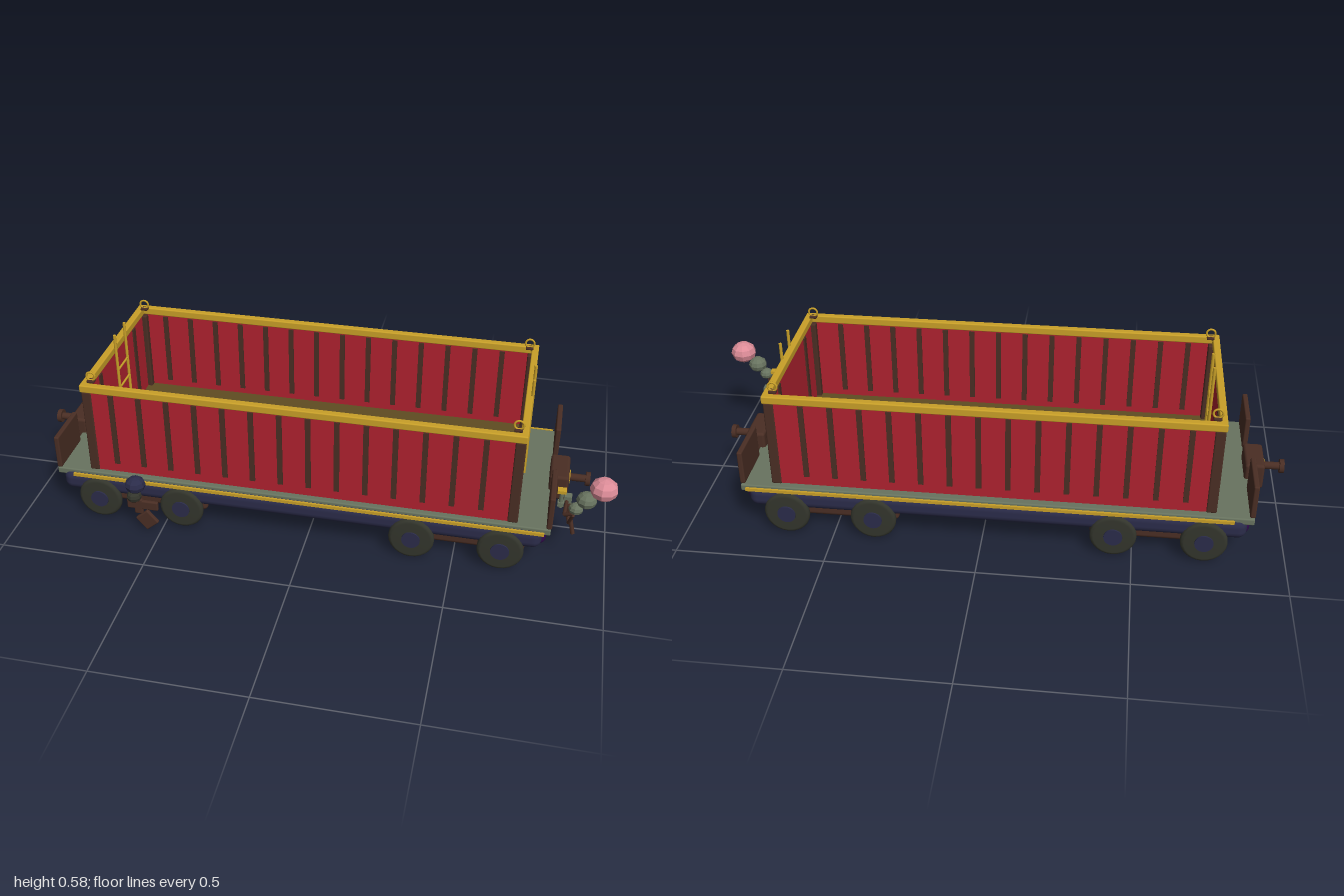
import * as THREE from 'three';
import { RoundedBoxGeometry } from 'three/addons/geometries/RoundedBoxGeometry.js';

const CX = -0.03, CZ = -0.042; // centre of the cargo box

export function createModel() {
  const model = new THREE.Group();
  model.name = 'openWagon';
  const paint = (name, color) => {
    const m = new THREE.MeshStandardMaterial({ color });
    m.name = name;
    return m;
  };
  const red = paint('red', 0xb0222f), gold = paint('gold', 0xc9a028), brown = paint('brown', 0x4a2e24);
  const grey = paint('greyGreen', 0x68735f), dark = paint('darkOlive', 0x33352c), navy = paint('navy', 0x2b2c4a);
  const purple = paint('purple', 0x300b4a), pink = paint('pink', 0xdc8c98), ochre = paint('darkOchre', 0x604c22);

  const add = (name, geo, mat, x = 0, y = 0, z = 0) => {
    const m = new THREE.Mesh(geo, mat);
    m.name = name;
    m.position.set(x, y, z);
    model.add(m);
    return m;
  };
  // Box given by its limits along each axis, optionally rounded
  const block = (name, mat, [x0, x1], [y0, y1], [z0, z1], r = 0) => {
    const s = [x1 - x0, y1 - y0, z1 - z0];
    const geo = r ? new RoundedBoxGeometry(...s, 3, r) : new THREE.BoxGeometry(...s);
    return add(name, geo, mat, (x0 + x1) / 2, (y0 + y1) / 2, (z0 + z1) / 2);
  };
  // Round bar between two points
  const bar = (name, mat, a, b, r, sides = 8) => {
    const p = new THREE.Vector3(...a), q = new THREE.Vector3(...b), d = q.clone().sub(p);
    const m = add(name, new THREE.CylinderGeometry(r, r, d.length(), sides), mat);
    m.position.copy(p).add(q).multiplyScalar(0.5);
    m.quaternion.setFromUnitVectors(new THREE.Vector3(0, 1, 0), d.normalize());
    return m;
  };
  const facetedBall = (name, mat, x, y, z, r, h) => {
    const geo = new THREE.SphereGeometry(1, 9, 6).scale(r, h, r).toNonIndexed();
    geo.computeVertexNormals();
    return add(name, geo, mat, x, y, z);
  };

  // Underframe
  block('deck', grey, [-0.885, 0.81], [0.149, 0.173], [-0.342, 0.253], 0.005);
  block('frame', navy, [-0.865, 0.785], [0.091, 0.167], [-0.352, 0.266], 0.03);
  block('frameUnderside', purple, [-0.83, 0.75], [0.088, 0.098], [-0.325, 0.24]);
  block('frameEnds', purple, [-0.875, 0.798], [0.092, 0.148], [-0.325, 0.242], 0.026);
  for (const s of [-1, 1]) {
    const z = CZ + s * 0.31;
    block('sideStripe', gold, [-0.82, 0.79], [0.158, 0.169], [z - 0.004, z + 0.004]);
  }

  // Bogies and wheels
  const wheelShape = [[0, -0.013], [0.065, -0.013], [0.073, -0.01], [0.077, -0.004], [0.077, 0.004],
    [0.073, 0.01], [0.065, 0.013], [0, 0.013]].map(p => new THREE.Vector2(...p));
  for (const bx of [-0.583, 0.508]) {
    block('bogie', brown, [bx - 0.225, bx + 0.225], [0.045, 0.094], [-0.312, 0.227], 0.015);
    for (const dx of [-0.147, 0.147]) {
      bar('axle', brown, [bx + dx, 0.077, -0.34], [bx + dx, 0.077, 0.255], 0.014, 12);
      for (const s of [-1, 1]) {
        const z = CZ + s * 0.306;
        add('wheel', new THREE.LatheGeometry(wheelShape, 24), dark, bx + dx, 0.079, z).rotation.x = Math.PI / 2;
        add('hubCap', new THREE.CylinderGeometry(0.031, 0.031, 0.008, 20), navy,
          bx + dx, 0.079, z + s * 0.014).rotation.x = Math.PI / 2;
      }
    }
  }

  // Cargo box: floor, walls and rim
  block('floor', ochre, [-0.75, 0.69], [0.186, 0.196], [-0.33, 0.246]);
  for (const s of [-1, 1]) {
    const z = CZ + s * 0.286, x = CX + s * 0.72;
    block('longWall', red, [-0.75, 0.69], [0.186, 0.497], [z - 0.005, z + 0.005]);
    block('endWall', red, [x - 0.005, x + 0.005], [0.186, 0.497], [-0.328, 0.244]);
    const rz = CZ + s * 0.287, rx = CX + s * 0.723;
    block('longRim', gold, [-0.765, 0.705], [0.494, 0.521], [rz - 0.012, rz + 0.012], 0.004);
    block('endRim', gold, [rx - 0.012, rx + 0.012], [0.494, 0.521], [-0.341, 0.257], 0.004);
    // Ribs pass through the walls
    for (let i = 0; i < 14; i++) {
      const px = -0.66 + i * 0.0954;
      block('longRib', brown, [px - 0.009, px + 0.009], [0.22, 0.49], [z - 0.01, z + 0.01]);
    }
    for (const dz of [-0.165, 0.165]) {
      block('endRib', brown, [x - 0.01, x + 0.01], [0.21, 0.49], [CZ + dz - 0.011, CZ + dz + 0.011]);
    }
    // Corner posts with lifting rings
    for (const t of [-1, 1]) {
      const cx = CX + s * 0.715, cz = CZ + t * 0.277;
      block('cornerPost', brown, [cx - 0.017, cx + 0.017], [0.183, 0.493], [cz - 0.017, cz + 0.017], 0.005);
      const ex = CX + s * 0.703, ez = CZ + t * 0.265;
      block('ringBase', brown, [ex - 0.013, ex + 0.013], [0.519, 0.528], [ez - 0.011, ez + 0.011], 0.003);
      add('liftingRing', new THREE.TorusGeometry(0.015, 0.0035, 8, 20), gold, ex, 0.541, ez);
    }
  }

  // Ladders at the two end walls
  for (const x of [0.703, -0.728]) {
    for (const z of [0.005, -0.089]) bar('ladderRail', gold, [x, 0.215, z], [x, 0.579, z], 0.0055);
    for (let i = 0; i < 4; i++) {
      const y = 0.227 + i * 0.071;
      bar('ladderRung', gold, [x, y, 0.005], [x, y, -0.089], 0.004);
    }
  }

  // Ends: guard panels, buffer blocks and couplers
  for (const s of [-1, 1]) {
    const end = d => -0.037 + s * d;
    const span = (a, b) => [Math.min(end(a), end(b)), Math.max(end(a), end(b))];
    for (const t of [-1, 1]) {
      const z = CZ + t * 0.206;
      block('guardPanel', brown, span(0.832, 0.85), [0.172, 0.294], [z - 0.086, z + 0.086], 0.005);
    }
    block('bufferBlock', brown, span(0.827, 0.892), [0.135, 0.228], [CZ - 0.071, CZ + 0.071], 0.01);
    bar('couplerShaft', brown, [end(0.89), 0.187, CZ], [end(0.955), 0.187, CZ], 0.013, 14);
    bar('couplerHead', brown, [end(0.948), 0.187, CZ], [end(0.963), 0.187, CZ], 0.024, 20);
    add('couplerRing', new THREE.TorusGeometry(0.022, 0.003, 8, 24), gold,
      end(0.893), 0.187, CZ).rotation.y = Math.PI / 2;
  }

  // Valve, pipe and lever at the left end, with rising puffs
  bar('valveStem', grey, [0.83, 0.235, 0.202], [0.83, 0.293, 0.202], 0.007);
  block('valveFoot', grey, [0.82, 0.84], [0.243, 0.257], [0.191, 0.213]);
  block('valveCap', gold, [0.816, 0.844], [0.293, 0.304], [0.19, 0.214]);
  block('leverHead', grey, [0.84, 0.865], [0.232, 0.256], [0.15, 0.175]);
  bar('lever', brown, [0.852, 0.24, 0.162], [0.882, 0.122, 0.187], 0.007);
  const pipe = (name, pts) => {
    for (let i = 1; i < pts.length; i++) bar(name, brown, pts[i - 1], pts[i], 0.006);
  };
  pipe('upperPipe', [[0.85, 0.24, 0.165], [0.845, 0.23, 0.235], [0.87, 0.245, 0.247]]);
  pipe('lowerPipe', [[0.853, 0.24, 0.158], [0.858, 0.19, 0.172], [0.862, 0.19, 0.222], [0.872, 0.24, 0.247]]);
  facetedBall('smallPuff', grey, 0.878, 0.265, 0.243, 0.024, 0.02);
  facetedBall('middlePuff', grey, 0.907, 0.303, 0.243, 0.033, 0.028);
  facetedBall('largePuff', pink, 0.955, 0.352, 0.242, 0.045, 0.038);

  // Lever fitting beside the front right bogie
  block('fittingPlate', brown, [-0.615, -0.505], [0.085, 0.12], [0.301, 0.315], 0.005);
  block('fittingArm', brown, [-0.59, -0.56], [0.065, 0.125], [0.301, 0.315], 0.005);
  add('fittingPaddle', new RoundedBoxGeometry(0.058, 0.06, 0.015, 3, 0.005), brown,
    -0.545, 0.046, 0.315).rotation.z = 0.7;
  bar('fittingStem', dark, [-0.585, 0.115, 0.308], [-0.585, 0.163, 0.308], 0.008);
  block('fittingCap', gold, [-0.597, -0.573], [0.161, 0.172], [0.294, 0.317]);
  facetedBall('lowerBall', dark, -0.58, 0.15, 0.328, 0.026, 0.022);
  facetedBall('upperBall', navy, -0.57, 0.202, 0.332, 0.035, 0.03);
  return model;
}
